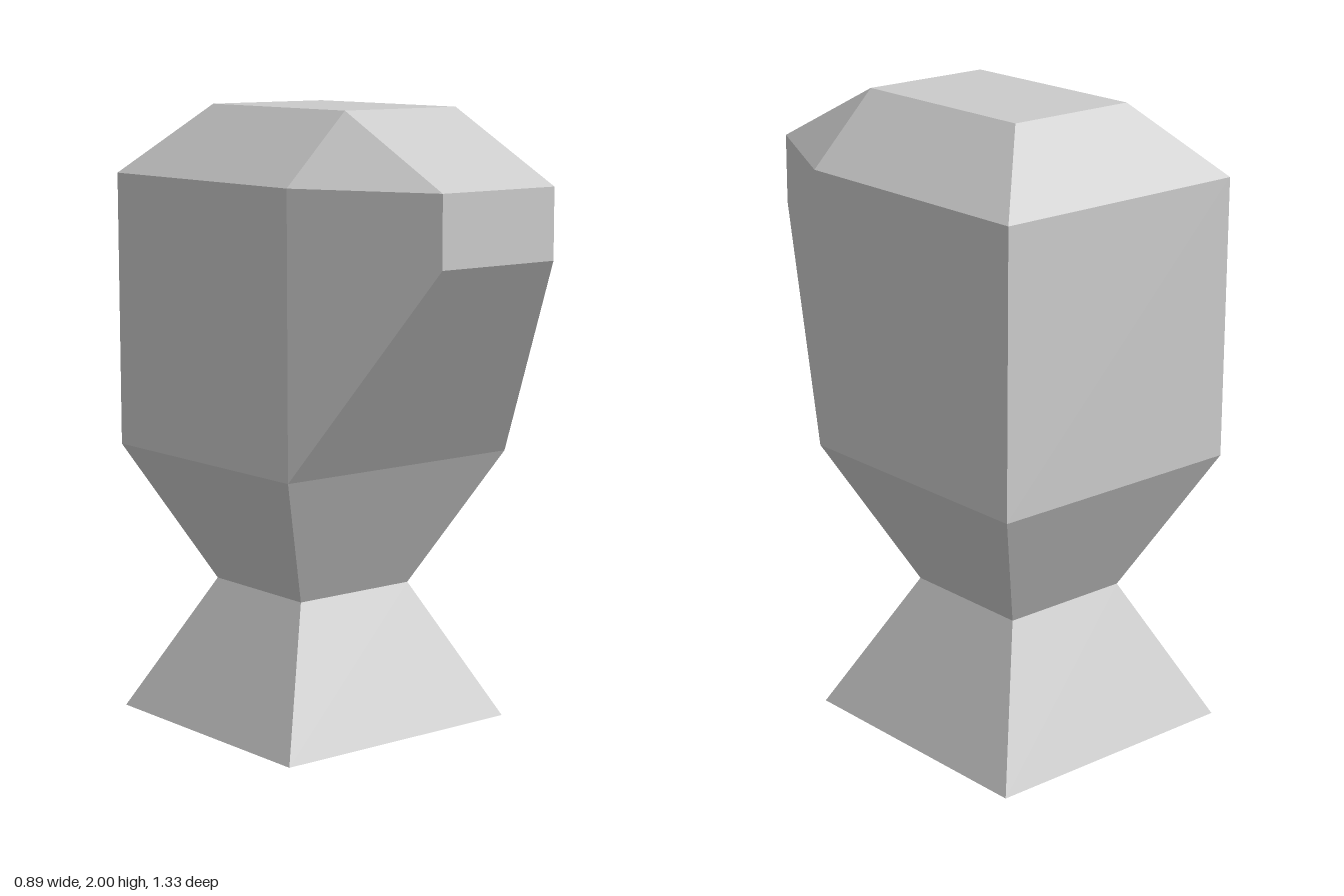
import * as THREE from 'three';

const U = 2 / 9; // grid unit: every corner lies on a whole multiple of it
const material = new THREE.MeshStandardMaterial({ color: 0xcccccc, flatShading: true });

function part(name, geometry) {
  const flat = geometry.index ? geometry.toNonIndexed() : geometry;
  flat.computeVertexNormals();
  const mesh = new THREE.Mesh(flat, material);
  mesh.name = name;
  return mesh;
}

// Open square frustum, sized by half-widths in grid units
function frustum(name, top, bottom, y, height) {
  const s = Math.SQRT2 * U;
  const g = new THREE.CylinderGeometry(top * s, bottom * s, height * U, 4, 1, true);
  g.rotateY(Math.PI / 4).translate(0, (y + height / 2) * U, -U);
  return part(name, g);
}

// Convex polygons (counter-clockwise from outside) fanned into triangles
function polygons(faces) {
  const points = [];
  for (const f of faces) {
    for (let i = 1; i < f.length - 1; i++) points.push(...f[0], ...f[i], ...f[i + 1]);
  }
  const g = new THREE.BufferGeometry();
  g.setAttribute('position', new THREE.Float32BufferAttribute(points.map((v) => v * U), 3));
  return g;
}

const mirror = (face) => face.map(([x, y, z]) => [-x, y, z]).reverse();

// Face that spans the centre plane, given its lower and upper left (+x) corners
const span = ([x0, y0, z0], [x1, y1, z1]) =>
  [[-x0, y0, z0], [x0, y0, z0], [x1, y1, z1], [-x1, y1, z1]];

function headGeometry() {
  const jawFront = [2, 4, 1], jawBack = [2, 4, -3];
  const templeFront = [2, 8, 1], templeBack = [2, 8, -3];
  const crownFront = [1, 9, 1], crownBack = [1, 9, -2];
  const snoutLow = [1, 7, 3], snoutHigh = [1, 8, 3];

  const side = [
    [jawFront, jawBack, templeBack, templeFront],   // side wall
    [templeFront, templeBack, crownBack, crownFront], // side roof slope
    [snoutHigh, snoutLow, jawFront, templeFront],   // cheek
    [snoutHigh, templeFront, crownFront],           // brow corner
  ];
  const middle = [
    span(jawFront, snoutLow),     // underside of the snout
    span(snoutLow, snoutHigh),    // snout tip
    span(snoutHigh, crownFront),  // forehead
    span(crownFront, crownBack),  // crown
    span(crownBack, templeBack),  // back roof slope
    span(templeBack, jawBack),    // back wall
  ];
  return polygons([...side, ...side.map(mirror), ...middle]);
}

export function createModel() {
  const model = new THREE.Group();
  model.name = 'headBust';

  // Flared foot with its underside
  model.add(frustum('base', 1, 2, 0, 2));
  const underside = new THREE.PlaneGeometry(4 * U, 4 * U);
  underside.rotateX(Math.PI / 2).translate(0, 0, -U);
  model.add(part('baseUnderside', underside));

  // Neck widening up to the jaw, then the head
  model.add(frustum('neck', 2, 1, 2, 2));
  model.add(part('head', headGeometry()));
  return model;
}
